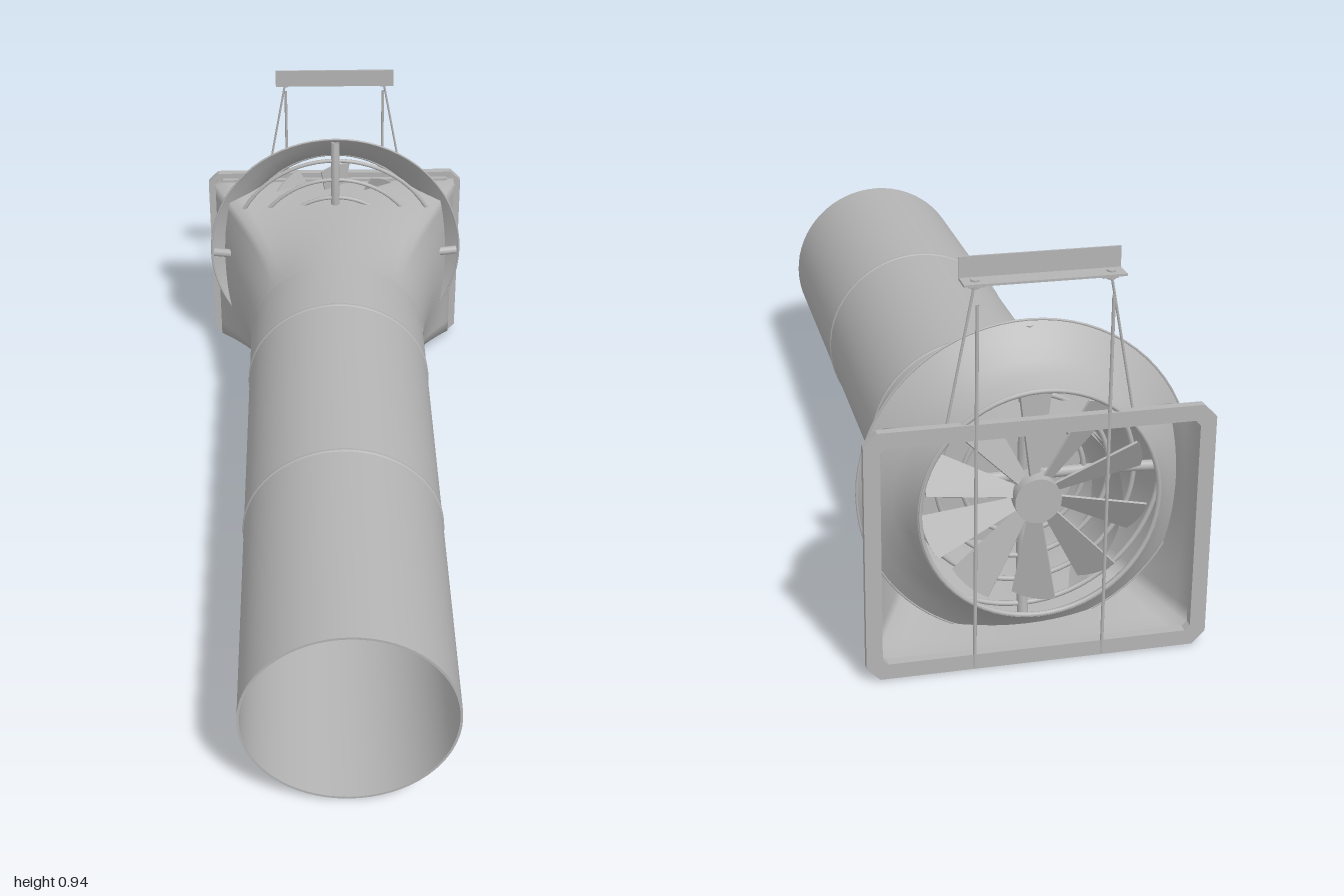
import * as THREE from 'three';

export function createModel() {
  const root = new THREE.Group();
  root.name = 'ductFan';
  const grey = new THREE.MeshStandardMaterial({ color: 0xb4b4b4, side: THREE.DoubleSide });
  grey.name = 'sheet metal grey';

  const add = (name, geo, x = 0, y = 0, z = 0, parent = root) => {
    const m = new THREE.Mesh(geo, grey);
    m.name = name;
    m.position.set(x, y, z);
    parent.add(m);
    return m;
  };
  const box = (name, w, h, d, x, y, z) => add(name, new THREE.BoxGeometry(w, h, d), x, y, z);
  const rod = (name, a, b, r) => {
    const p = new THREE.Vector3(...a), q = new THREE.Vector3(...b);
    const path = new THREE.LineCurve3(p, q);
    return add(name, new THREE.TubeGeometry(path, 1, r, 8));
  };
  // Profile of [radius, z] pairs turned about the z axis
  const turned = (name, profile, y, seg = 64) => {
    const g = new THREE.LatheGeometry(profile.map(([r, z]) => new THREE.Vector2(r, z)), seg);
    g.rotateX(Math.PI / 2);
    return add(name, g, 0, y, 0);
  };
  // Surface through rows of points
  const loft = (rows) => {
    const n = rows[0].length, pos = [], idx = [];
    rows.forEach((row) => row.forEach((p) => pos.push(...p)));
    for (let j = 0; j < rows.length - 1; j++)
      for (let i = 0; i < n - 1; i++) {
        const a = j * n + i, b = a + n;
        idx.push(a, a + 1, b, b, a + 1, b + 1);
      }
    const g = new THREE.BufferGeometry();
    g.setAttribute('position', new THREE.Float32BufferAttribute(pos, 3));
    g.setIndex(idx);
    g.computeVertexNormals();
    return g;
  };

  // Long round duct with two joint beads
  const ductY = 0.262;
  turned('ductOuter', [[0.255, 1], [0.255, -0.78]], ductY);
  turned('ductInner', [[0.249, -0.78], [0.249, 1]], ductY);
  turned('ductLip', [[0.249, 1], [0.255, 1]], ductY);
  for (const z of [0.33, -0.34])
    turned('jointBead', [[0.254, z - 0.006], [0.258, z - 0.003], [0.258, z + 0.003], [0.254, z + 0.006]], ductY);

  // Closing disc and arched damper blade inside the duct
  add('backDisc', new THREE.CircleGeometry(0.238, 64), 0, 0.277, -0.5);
  const arc = (h, z) => Array.from({ length: 33 }, (_, i) => {
    const t = (i / 32) * 2 - 1;
    return [0.222 * t, 0.275 + h * (1 - t * t), z];
  });
  add('damperBlade', loft([arc(0.09, -0.36), arc(0.1, -0.37), arc(0.135, -0.46)]));
  add('damperEdge', loft([arc(0.083, -0.36), arc(0.09, -0.36)]));

  // Transition from round neck to rectangular housing
  const rows = [];
  for (let j = 0; j <= 14; j++) {
    const u = Math.min(1, j / 13);
    const s = Math.pow(u, 1.55);
    const z = j === 14 ? -0.985 : -0.5 - 0.45 * u;
    const row = [];
    for (let i = 0; i <= 80; i++) {
      const a = (i / 80) * Math.PI * 2, c = Math.cos(a), n = Math.sin(a);
      const k = 1 / Math.max(Math.abs(c), Math.abs(n));
      const x = THREE.MathUtils.lerp(0.252 * c, 0.364 * c * k, s);
      const y = THREE.MathUtils.lerp(0.301 + 0.252 * n, 0.297 + 0.27 * n * k, s);
      row.push([x, y, z]);
    }
    rows.push(row);
  }
  add('transition', loft(rows));

  // Rectangular flange frames with clipped corners
  const outline = (path, w, h, c) => {
    const pts = [[w - c, -h], [w, c - h], [w, h - c], [w - c, h], [c - w, h], [-w, h - c], [-w, c - h], [c - w, -h]];
    path.setFromPoints(pts.map(([x, y]) => new THREE.Vector2(x, y)));
    path.closePath();
    return path;
  };
  const frame = (name, w, h, iw, ih, z, depth) => {
    const s = outline(new THREE.Shape(), w, h, 0.03);
    s.holes.push(outline(new THREE.Path(), iw, ih, 0.012));
    add(name, new THREE.ExtrudeGeometry(s, { depth, bevelEnabled: false }), 0, 0.297, z);
  };
  frame('flange', 0.386, 0.293, 0.35, 0.257, -0.998, 0.02);
  frame('flangeStep', 0.371, 0.277, 0.357, 0.263, -0.978, 0.012);

  // Bell-mouth fan shroud
  const fanY = 0.384;
  turned('shroud', [[0.381, -0.86], [0.345, -0.885], [0.31, -0.915], [0.283, -0.95], [0.268, -0.995]], fanY);
  add('shroudRim', new THREE.TorusGeometry(0.379, 0.003, 6, 72), 0, fanY, -0.861);
  add('throatRing', new THREE.TorusGeometry(0.266, 0.006, 8, 64), 0, fanY, -0.988);

  // Dished wire guard with crossing bars
  [[0.315, -0.85], [0.255, -0.843], [0.198, -0.838], [0.14, -0.836]].forEach(([r, z]) =>
    add('guardRing', new THREE.TorusGeometry(r, 0.006, 8, 72), 0, fanY, z));
  for (let i = 0; i < 4; i++) {
    const a = (i * Math.PI) / 2;
    const at = (r, z) => new THREE.Vector3(r * Math.cos(a), fanY + r * Math.sin(a), z);
    const path = new THREE.CatmullRomCurve3([at(0, -0.835), at(0.2, -0.838), at(0.315, -0.85), at(0.37, -0.86)]);
    add('guardBar', new THREE.TubeGeometry(path, 12, 0.013, 8));
  }

  // Fan with ten pitched blades
  const fan = new THREE.Group();
  fan.name = 'fan';
  fan.position.set(0, fanY, -0.94);
  root.add(fan);
  const hub = new THREE.CylinderGeometry(0.052, 0.052, 0.06, 32);
  hub.rotateX(Math.PI / 2);
  add('hub', hub, 0, 0, 0, fan);
  const blade = new THREE.Shape();
  blade.moveTo(-0.014, 0.045);
  blade.lineTo(0.014, 0.045);
  blade.lineTo(0.05, 0.245);
  blade.quadraticCurveTo(0, 0.262, -0.05, 0.245);
  blade.closePath();
  const bladeGeo = new THREE.ExtrudeGeometry(blade, { depth: 0.005, bevelEnabled: false });
  bladeGeo.rotateY(0.55);
  for (let i = 0; i < 10; i++) add('blade', bladeGeo, 0, 0, 0, fan).rotation.z = (i / 10) * Math.PI * 2;

  // Hanging bracket, an angle profile above the housing
  box('bracketPlate', 0.346, 0.05, 0.005, 0, 0.92, -0.946);
  box('bracketShelf', 0.346, 0.005, 0.05, 0, 0.897, -0.97);
  // Matching foot bracket below
  box('footPlate', 0.346, 0.02, 0.005, 0, 0.016, -0.965);
  box('footShelf', 0.346, 0.005, 0.04, 0, 0.014, -0.975);

  // Cables, rods and bolts on both sides
  for (const s of [-1, 1]) {
    rod('hangerCable', [s * 0.146, 0.89, -0.972], [s * 0.205, 0.575, -0.972], 0.003);
    rod('supportRod', [s * 0.145, 0.008, -0.996], [s * 0.145, 0.855, -0.996], 0.004);
    add('hangerBolt', new THREE.CylinderGeometry(0.01, 0.01, 0.02, 6), s * 0.145, 0.893, -0.972);
    box('hangerClip', 0.034, 0.007, 0.016, s * 0.142, 0.89, -0.972);
    add('footBolt', new THREE.CylinderGeometry(0.009, 0.009, 0.018, 6), s * 0.145, 0.01, -0.965);
    box('footClip', 0.034, 0.008, 0.016, s * 0.145, 0.009, -0.962);
  }
  return root;
}
